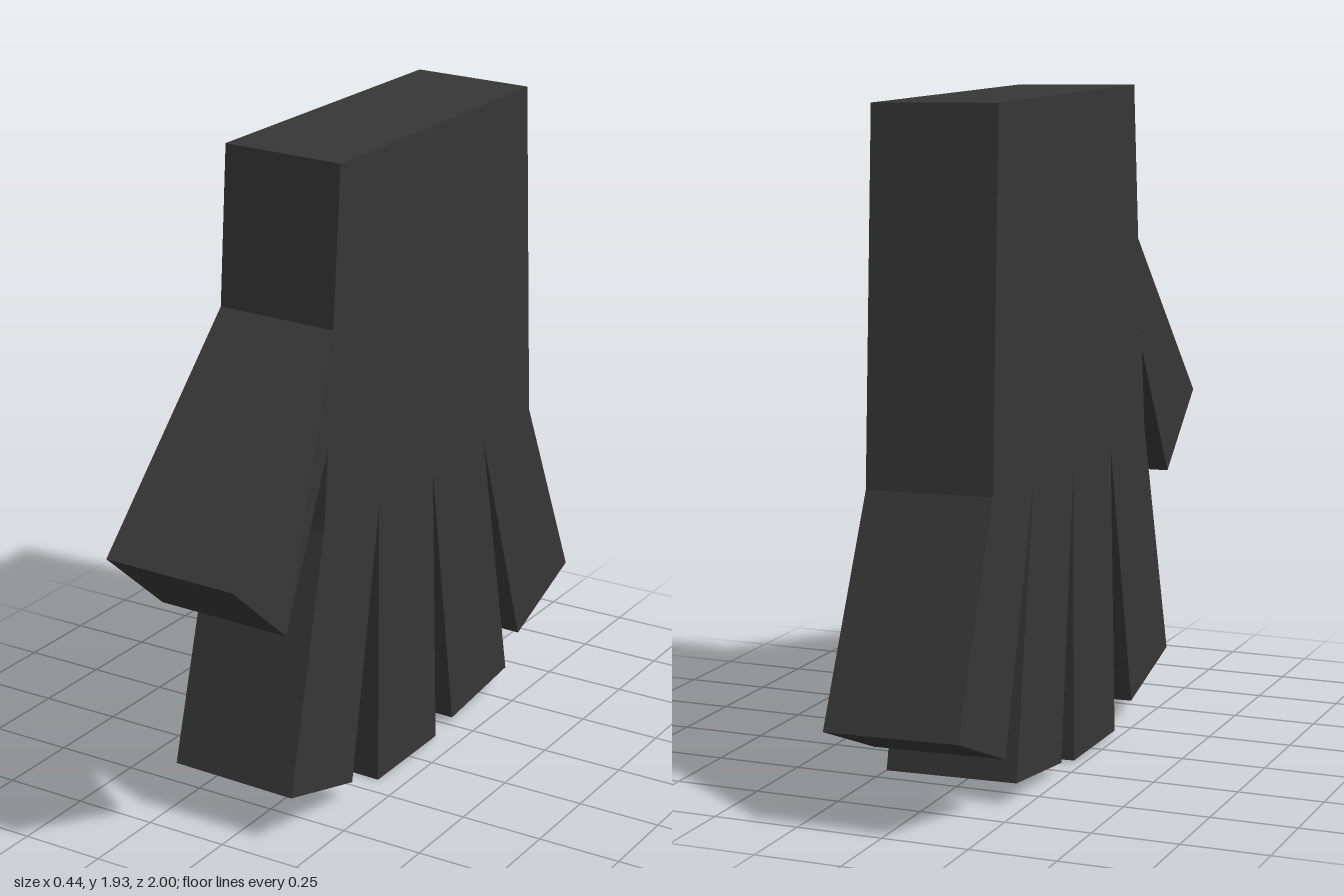
import * as THREE from 'three';

const charcoal = new THREE.MeshStandardMaterial({ color: 0x363636 });
charcoal.name = 'charcoal';

// Slab from a side outline, counter-clockwise seen from +x; each point is [z, y, xMin, xMax]
function slab(name, outline) {
  const near = ([z, y, , x1]) => [x1, y - 0.007, z];
  const far = ([z, y, x0]) => [x0, y, z];
  const pos = [];
  const tri = (a, b, c) => pos.push(...a, ...b, ...c);
  const n = outline.length;
  for (let i = 1; i < n - 1; i++) {
    const [a, b, c] = [outline[0], outline[i], outline[i + 1]];
    tri(near(a), near(b), near(c));
    tri(far(a), far(c), far(b));
  }
  for (let i = 0; i < n; i++) {
    const p = outline[i], q = outline[(i + 1) % n];
    tri(near(p), far(p), far(q));
    tri(near(p), far(q), near(q));
  }
  const geo = new THREE.BufferGeometry();
  geo.setAttribute('position', new THREE.Float32BufferAttribute(pos, 3));
  geo.computeVertexNormals();
  const mesh = new THREE.Mesh(geo, charcoal);
  mesh.name = name;
  return mesh;
}

export function createModel() {
  const hand = new THREE.Group();
  hand.name = 'hand';

  // Knuckle points from front to back, shared by palm and fingers
  const knuckles = [[0.455, 0.89], [0.16, 0.877], [-0.145, 0.877], [-0.45, 0.877], [-0.74, 0.89]]
    .map(([z, y]) => [z, y, -0.213, 0.16]);

  // Palm
  hand.add(slab('palm', [
    [-0.665, 1.93, -0.2, 0.17], [0.38, 1.93, -0.2, 0.17], [0.41, 1.47, -0.205, 0.164], ...knuckles,
  ]));

  // Fingers: front and back corner of each tip
  const tips = {
    indexFinger: [[0.65, 0.155], [0.325, 0.063]],
    middleFinger: [[0.18, 0.007], [-0.16, 0.007]],
    ringFinger: [[-0.26, 0.028], [-0.6, 0.063]],
    littleFinger: [[-0.68, 0.153], [-1.0, 0.28]],
  };
  Object.entries(tips).forEach(([name, tip], i) => {
    const ends = tip.map(([z, y]) => [z, y, -0.223, 0.17]);
    hand.add(slab(name, [knuckles[i + 1], knuckles[i], ...ends]));
  });

  // Thumb, flaring slightly to the left at its tip
  hand.add(slab('thumb', [
    [0.41, 1.47, -0.205, 0.164], [1.0, 0.925, -0.185, 0.22],
    [0.745, 0.703, -0.188, 0.22], [0.435, 1.135, -0.21, 0.162],
  ]));

  return hand;
}
